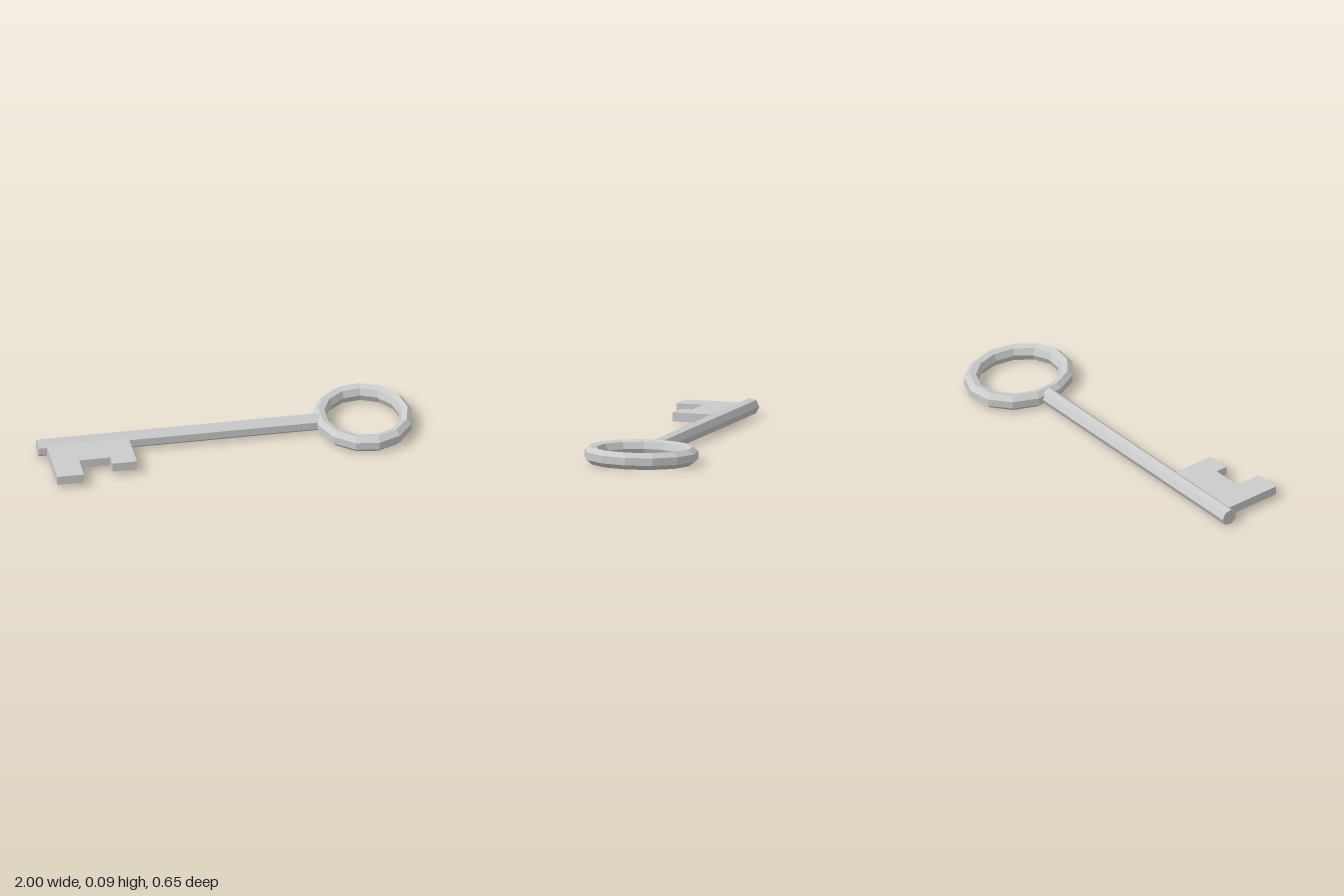
import * as THREE from 'three';

const AXIS_Y = 0.045, AXIS_Z = -0.0235;

export function createModel() {
  const group = new THREE.Group();
  const material = new THREE.MeshStandardMaterial({ color: 0xcccccc, flatShading: true });
  const add = (name, geometry, x, y, z) => {
    const mesh = new THREE.Mesh(geometry, material);
    mesh.name = name;
    mesh.position.set(x, y, z);
    group.add(mesh);
  };

  // Oval bow: seven-sided section, flat on the outside, turned in 13 steps
  const profile = [];
  for (let i = 0; i <= 7; i++) {
    const a = ((i - 0.5) / 7) * Math.PI * 2;
    profile.push(new THREE.Vector2(0.267 + 0.043 * Math.cos(a), 0.0461 * Math.sin(a)));
  }
  const bow = new THREE.LatheGeometry(profile, 13, Math.PI / 2);
  bow.scale(0.85, 1, 1);
  add('bow', bow, 0.74, AXIS_Y, AXIS_Z);

  // Seven-sided shaft with its flat side towards the bit
  const start = -1, end = 0.525;
  const shaft = new THREE.CylinderGeometry(0.045, 0.045, end - start, 7, 1, false, Math.PI);
  shaft.rotateZ(Math.PI / 2);
  add('shaft', shaft, (start + end) / 2, AXIS_Y, AXIS_Z);

  // Bit: notched plate with one long and one short tooth, as (x, z) corners
  const corners = [
    [-0.957, 0], [-0.957, 0.327], [-0.815, 0.327], [-0.815, 0.18],
    [-0.648, 0.18], [-0.648, 0.245], [-0.518, 0.245], [-0.518, 0],
  ];
  const outline = new THREE.Shape(corners.map(([x, z]) => new THREE.Vector2(x, -z)));
  const bit = new THREE.ExtrudeGeometry(outline, { depth: 0.048, bevelEnabled: false });
  bit.rotateX(-Math.PI / 2);
  add('bit', bit, 0, 0.022, 0);

  return group;
}
